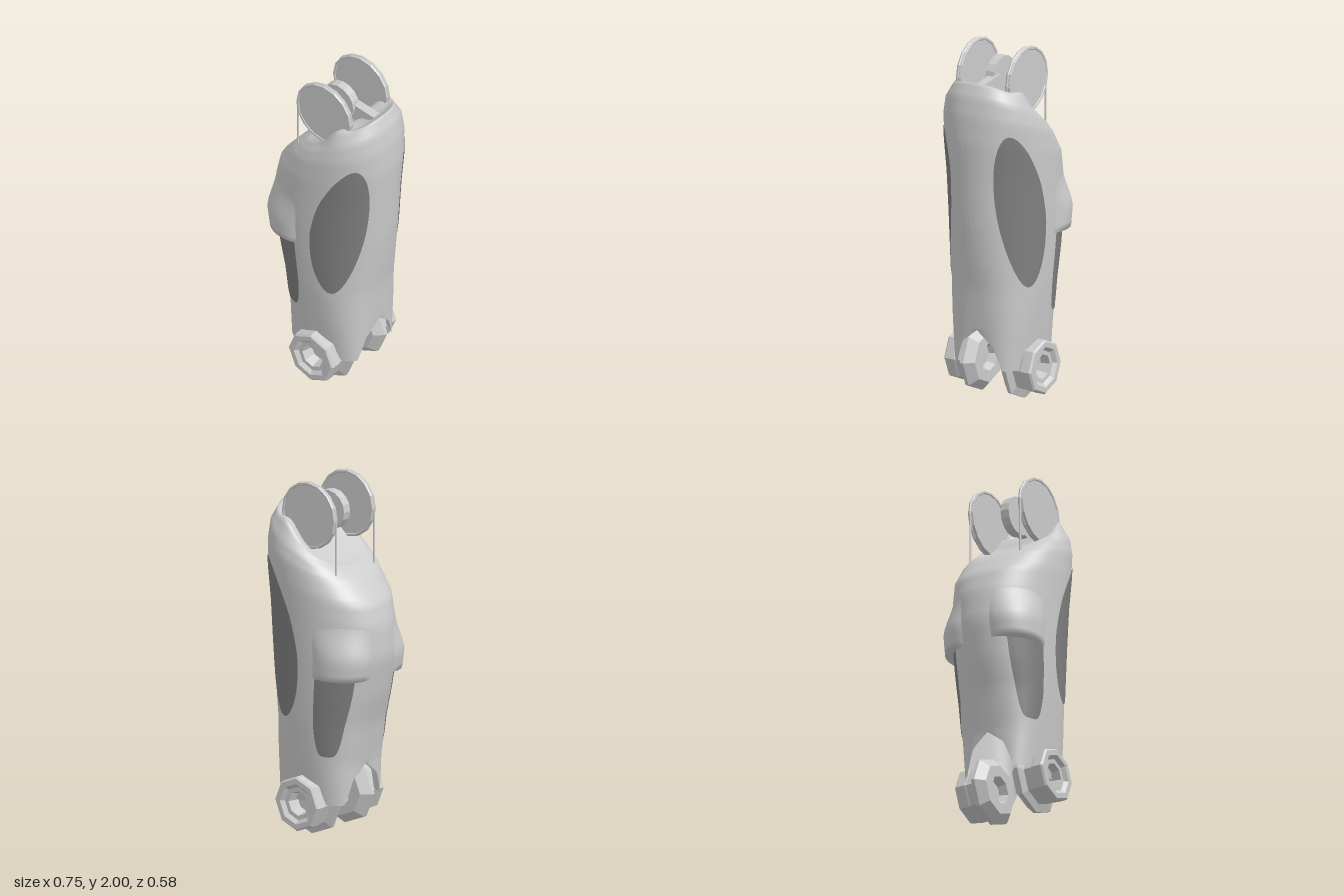
import * as THREE from 'three';

const grey = new THREE.MeshStandardMaterial({ color: 0xcccccc, side: THREE.DoubleSide });
const flat = new THREE.MeshStandardMaterial({ color: 0xcccccc, flatShading: true });
const dark = new THREE.MeshStandardMaterial({ color: 0x808080, side: THREE.DoubleSide });
const RAD = Math.PI / 180;

// Shell sections, bottom to top: xLeft, yLeft, xRight, yRight, half depth, squareness
const rings = [
  [-0.235, 0.20, 0.275, 0.20, 0.215, 3.2],
  [-0.24, 0.43, 0.28, 0.43, 0.24, 2.9],
  [-0.28, 0.65, 0.295, 0.65, 0.262, 2.4],
  [-0.33, 0.82, 0.32, 0.82, 0.272, 2.2],
  [-0.375, 1.04, 0.345, 1.04, 0.28, 2.1],
  [-0.365, 1.22, 0.36, 1.30, 0.285, 2.1],
  [-0.33, 1.34, 0.372, 1.50, 0.288, 2.2],
  [-0.23, 1.46, 0.365, 1.65, 0.282, 2.3],
  [-0.17, 1.51, 0.345, 1.76, 0.262, 2.4],
  [-0.14, 1.53, 0.31, 1.835, 0.22, 2.4],
  [-0.10, 1.54, 0.27, 1.80, 0.16, 2.2],
  [0.08, 1.65, 0.10, 1.66, 0, 2],
];

// Point on the shell: t runs along the sections, a runs around from +x to +z
function shellPoint(t, a) {
  const i = Math.min(Math.floor(t), rings.length - 2);
  const [xl, yl, xr, yr, w, n] = rings[i].map((v, k) => THREE.MathUtils.lerp(v, rings[i + 1][k], t - i));
  const round = (v) => Math.sign(v) * Math.abs(v) ** (2 / n);
  const c = round(Math.cos(a));
  const x = (xl + xr) / 2 + c * (xr - xl) / 2;
  const z = round(Math.sin(a)) * w;
  let y = (yl + yr) / 2 + c * (yr - yl) / 2;
  // shoulder step on the sloping top
  y += 0.045 * Math.exp(-(((x - 0.15) / 0.06) ** 2)) * THREE.MathUtils.clamp(t - 8, 0, 1);
  // arched cut in the lower edge at both ends
  const d = Math.abs(z);
  const arch = d < 0.1 ? 0.22 - 0.8 * d : 0.14 * Math.max(0, 1 - (d - 0.1) / 0.05);
  y += arch * Math.max(0, 1 - t);
  return new THREE.Vector3(x, y, z);
}

// Point on the shell at a given height, pushed outward by an offset
function shellAt(a, y, offset) {
  let lo = 0, hi = 9;
  for (let k = 0; k < 24; k++) {
    const mid = (lo + hi) / 2;
    if (shellPoint(mid, a).y < y) lo = mid; else hi = mid;
  }
  const p = shellPoint(lo, a);
  p.x += Math.cos(a) * offset;
  p.z += Math.sin(a) * offset;
  return p;
}

// Grid surface from point(u, v)
function surface(point, nu, nv) {
  const pos = [], index = [];
  for (let j = 0; j <= nv; j++)
    for (let i = 0; i <= nu; i++) pos.push(...point(i / nu, j / nv).toArray());
  for (let j = 0; j < nv; j++)
    for (let i = 0; i < nu; i++) {
      const p = j * (nu + 1) + i, q = p + nu + 1;
      index.push(p, q, p + 1, p + 1, q, q + 1);
    }
  const g = new THREE.BufferGeometry();
  g.setAttribute('position', new THREE.Float32BufferAttribute(pos, 3));
  g.setIndex(index);
  g.computeVertexNormals();
  return g;
}

// Lathe turned so that its axis points along z
function turned(profile, sides) {
  const g = new THREE.LatheGeometry(profile.map(([r, z]) => new THREE.Vector2(r, z)), sides);
  return g.rotateX(Math.PI / 2);
}

export function createModel() {
  const model = new THREE.Group();
  const add = (name, geometry, material, parent = model) => {
    const mesh = new THREE.Mesh(geometry, material);
    mesh.name = name;
    parent.add(mesh);
    return mesh;
  };

  const nv = (rings.length - 1) * 4;
  add('shell', surface((u, v) => shellPoint(v * (rings.length - 1), u * 2 * Math.PI), 96, nv), grey);

  // Large leaning oval panel
  const oval = surface((u, v) => {
    const s = -Math.cos(v * Math.PI), half = Math.sin(v * Math.PI);
    return shellAt((57 - 11 * s + 27 * half * (1 - 2 * u)) * RAD, 1.11 + 0.44 * s, 0.004);
  }, 16, 28);

  // Smaller panel with a rounded foot and a straight top
  const slot = surface((u, v) => {
    const half = 21 * Math.sqrt(1 - (1 - v) ** 2);
    return shellAt((119 + 5 * v + half * (2 * u - 1)) * RAD, 0.48 + 0.46 * v * v, 0.004);
  }, 12, 16);

  // Hood over the small panel; its first row forms the underside
  const hood = surface((u, v) => {
    const k = Math.max(0, (v - 0.1) / 0.9);
    const fade = v === 0 ? 0 : 1 - THREE.MathUtils.smoothstep(k, 0.3, 1);
    const bulge = 0.052 * Math.sin(Math.PI * u) ** 0.8 * fade;
    return shellAt((100 + 63 * u) * RAD, 0.93 + 0.32 * k, bulge - 0.002);
  }, 16, 10);

  // Eight-sided hollow joint hub
  const hub = turned([[0, 0.13], [0.06, 0.13], [0.08, 0.085], [0.145, 0.085], [0.195, 0.13],
    [0.195, 0.15], [0.15, 0.165], [0.15, 0.21], [0.155, 0.22], [0.155, 0.275], [0.145, 0.285],
    [0.115, 0.285], [0.095, 0.265], [0.07, 0.265], [0.055, 0.2], [0, 0.2]], 8);

  // Grooved pulley disc and its hanging cord
  const pulley = turned([[0, -0.012], [0.172, -0.012], [0.176, -0.016], [0.186, -0.016],
    [0.19, -0.006], [0.184, 0], [0.19, 0.006], [0.186, 0.016], [0.176, 0.016],
    [0.172, 0.012], [0, 0.012]], 16);
  const cord = new THREE.CylinderGeometry(0.006, 0.006, 0.33, 8);

  for (const side of [1, -1]) {
    const half = new THREE.Group();
    half.name = side > 0 ? 'frontSide' : 'backSide';
    half.scale.z = side;
    model.add(half);
    add('ovalPanel', oval, dark, half);
    add('slotPanel', slot, dark, half);
    add('hood', hood, grey, half);
    add('jointHub', hub, flat, half).position.set(0.025, 0.195, 0);
    add('pulley', pulley, flat, half).position.set(0.03, 1.81, 0.162);
    add('cord', cord, grey, half).position.set(-0.156, 1.655, 0.162);
  }

  // Link between the pulleys
  const link = new THREE.Group();
  link.name = 'link';
  model.add(link);
  const eye = new THREE.CylinderGeometry(0.11, 0.11, 0.052, 16).rotateX(Math.PI / 2);
  add('linkEye', eye, flat, link).position.set(0.022, 1.81, 0.015);
  const arm = add('linkArm', new THREE.BoxGeometry(0.18, 0.1, 0.052), flat, link);
  arm.position.set(0.165, 1.77, -0.001);
  arm.rotation.z = -0.15;

  return model;
}
